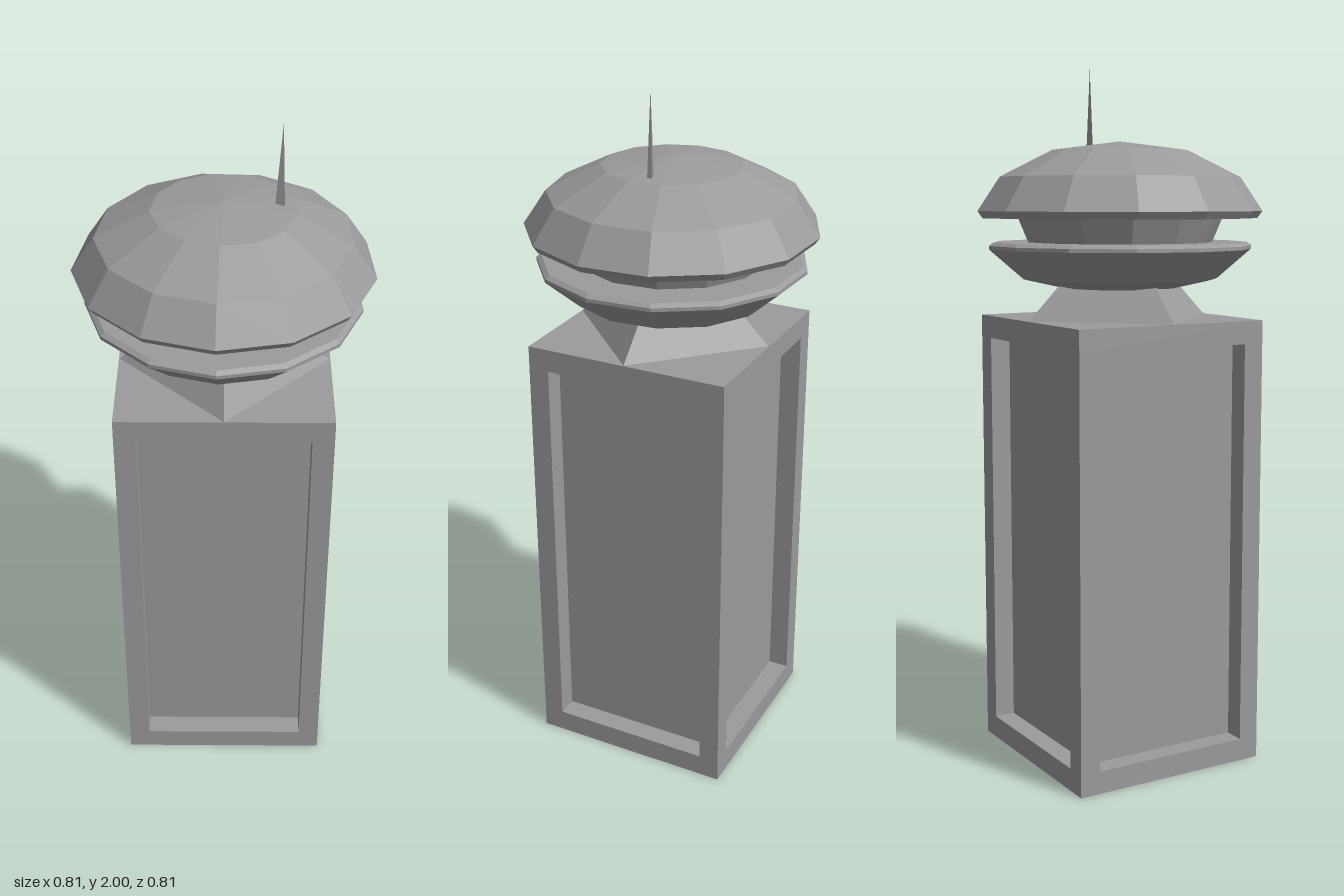
import * as THREE from 'three';

const material = new THREE.MeshStandardMaterial({ color: 0x9b9b9b, flatShading: true });

export function createModel() {
  const model = new THREE.Group();
  const add = (name, geometry, x = 0, y = 0, z = 0, parent = model) => {
    const mesh = new THREE.Mesh(geometry, material);
    mesh.name = name;
    mesh.position.set(x, y, z);
    parent.add(mesh);
  };

  // Square pillar: core with recessed panels, framed by posts and slabs
  const width = 0.592, height = 1.29, frame = 0.065, depth = 0.06;
  const pillar = new THREE.Group();
  pillar.name = 'pillar';
  pillar.position.set(0.002, 0, -0.004);
  model.add(pillar);
  const inner = height - 2 * frame;
  add('recessedPanels', new THREE.BoxGeometry(width - 2 * depth, inner, width - 2 * depth), 0, height / 2, 0, pillar);
  add('bottomSlab', new THREE.BoxGeometry(width, frame, width), 0, frame / 2, 0, pillar);
  add('topSlab', new THREE.BoxGeometry(width, frame, width), 0, height - frame / 2, 0, pillar);
  const corner = (width - depth) / 2;
  for (const sx of [-1, 1]) {
    for (const sz of [-1, 1]) {
      add('cornerPost', new THREE.BoxGeometry(depth, inner, depth), sx * corner, height / 2, sz * corner, pillar);
    }
  }

  // Tapered four-sided support, its corners over the middles of the pillar's sides
  add('support', new THREE.CylinderGeometry(0.183, 0.293, 0.11, 4), 0.002, height + 0.055, -0.003);

  // Thirteen-sided head: lower dish, waist and domed cap
  const addRound = (name, points) => add(name, new THREE.LatheGeometry(
    points.map(([r, y]) => new THREE.Vector2(r, y)), 13, -0.049), 0.001, 0, -0.002);
  addRound('dish', [[0, 1.378], [0.17, 1.378], [0.28, 1.403], [0.378, 1.488], [0.378, 1.498], [0.365, 1.507], [0, 1.507]]);
  addRound('waist', [[0.265, 1.505], [0.295, 1.577]]);
  addRound('dome', [[0, 1.575], [0.395, 1.575], [0.409, 1.595], [0.345, 1.69], [0.195, 1.765], [0, 1.79]]);

  // Thin three-sided spike, flattened from front to back
  const spike = new THREE.ConeGeometry(0.018, 0.25, 3, 1, false, -Math.PI / 2).scale(1, 1, 0.5);
  add('antenna', spike, 0.15, 1.875, -0.014);

  return model;
}
